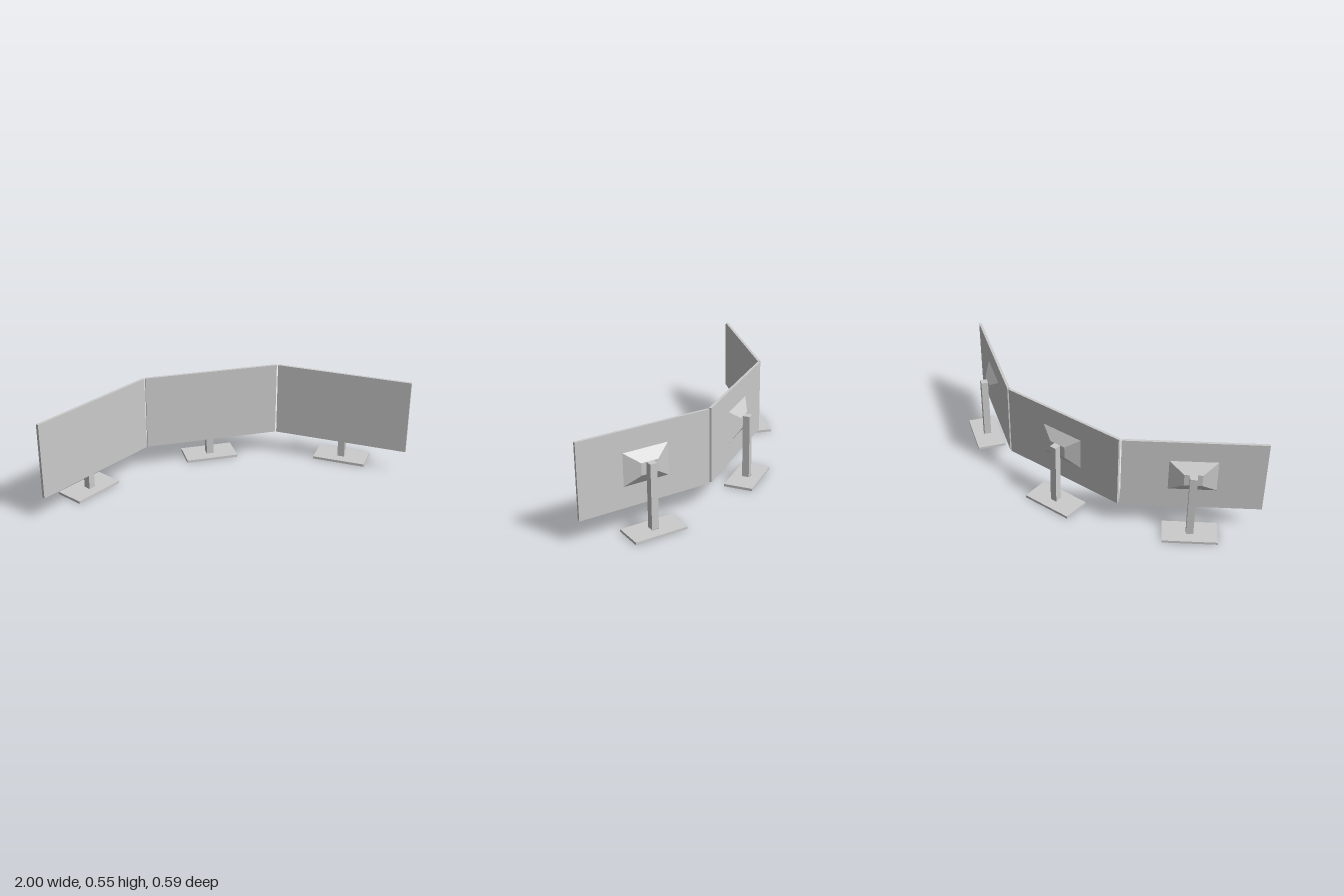
import * as THREE from 'three';

const material = new THREE.MeshStandardMaterial({ color: 0xcccccc, flatShading: true });

function part(name, geometry, x, y, z) {
  const mesh = new THREE.Mesh(geometry, material);
  mesh.name = name;
  mesh.position.set(x, y, z);
  return mesh;
}

// Tapered mount: wide at the panel (+z), narrow at the neck (-z)
function mountGeometry() {
  const g = new THREE.BoxGeometry(1, 1, 0.04);
  const p = g.attributes.position;
  for (let i = 0; i < p.count; i++) {
    const wide = p.getZ(i) > 0;
    p.setX(i, Math.sign(p.getX(i)) * (wide ? 0.127 : 0.048));
    p.setY(i, p.getY(i) > 0 ? (wide ? 0.43 : 0.373) : (wide ? 0.25 : 0.306));
  }
  g.computeVertexNormals();
  return g;
}

// Base plate with a square socket for the neck
function baseGeometry() {
  const w = 0.1475, d = 0.08, h = 0.0195;
  const rect = (C, a, b) => new C([[-a, -b], [a, -b], [a, b], [-a, b]].map(([x, y]) => new THREE.Vector2(x, y)));
  const shape = rect(THREE.Shape, w, d);
  shape.holes.push(rect(THREE.Path, h, h));
  const g = new THREE.ExtrudeGeometry(shape, { depth: 0.014, bevelEnabled: false });
  return g.rotateX(-Math.PI / 2);
}

// Hollow neck, open at the bottom
function neckGeometry() {
  const g = new THREE.BoxGeometry(0.039, 0.359, 0.039);
  const index = Array.from(g.index.array);
  index.splice(18, 6); // drop the bottom face
  g.setIndex(index);
  return g;
}

// One monitor, centred on its panel and facing +z
function createMonitor(name) {
  const monitor = new THREE.Group();
  monitor.name = name;
  monitor.add(
    part('screenPanel', new THREE.BoxGeometry(0.747, 0.414, 0.015), 0, 0.34, 0),
    part('mount', mountGeometry(), 0, 0, -0.0275),
    part('neck', neckGeometry(), 0, 0.1935, -0.067),
    part('base', baseGeometry(), 0, 0, -0.0705),
  );
  return monitor;
}

export function createModel() {
  const model = new THREE.Group();
  model.name = 'tripleMonitors';

  const centre = createMonitor('centreMonitor');
  centre.position.z = -0.1435;
  model.add(centre);

  // Side monitors angled in towards the viewer
  for (const side of [1, -1]) {
    const monitor = createMonitor(side > 0 ? 'leftMonitor' : 'rightMonitor');
    monitor.position.set(side * 0.69, 0, 0.0745);
    monitor.rotation.y = -side * THREE.MathUtils.degToRad(35);
    model.add(monitor);
  }
  return model;
}
